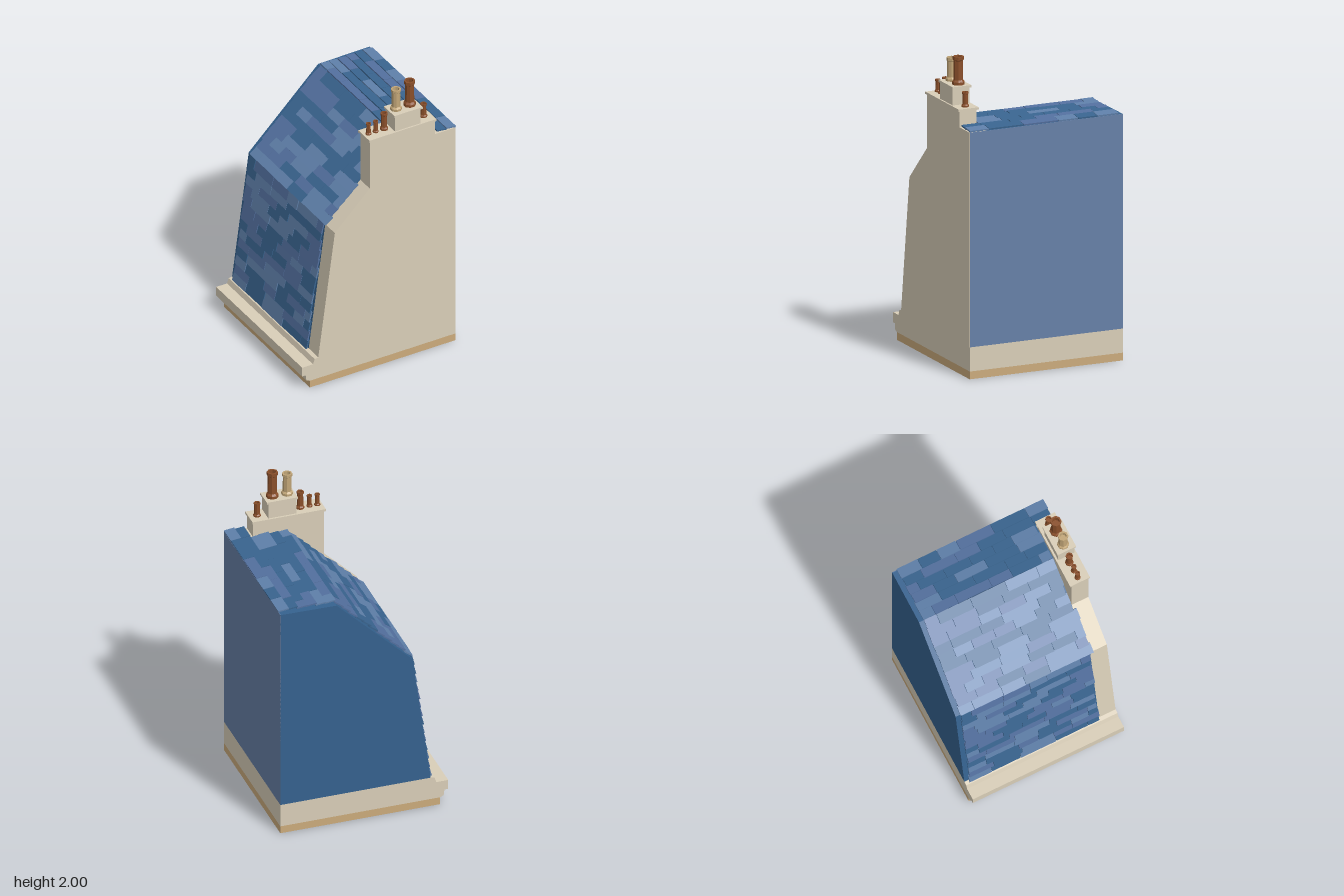
import * as THREE from 'three';

const mat = (color) => new THREE.MeshStandardMaterial({ color, flatShading: true });
const cream = mat(0xd9ceb8), tan = mat(0xcbab7c), brown = mat(0x8a4f2a), sand = mat(0xc2a678);
const roofBlue = mat(0x35628f), wallBlue = mat(0x6680a7);
const slateBlues = [mat(0x39648f), mat(0x53709f), mat(0x5f80aa)];

// Roof line from eaves to the right-hand wall
const EAVES = [-0.44, 0.2], BREAK = [-0.32, 1.09], TOP = [0.18, 1.58], EDGE = [0.55, 1.585];
const BACK = -0.532, FRONT = 0.522, SLAB = 0.405;

function seeded(seed) {
  return () => (seed = (seed * 16807) % 2147483647) / 2147483647;
}

function add(parent, name, geometry, material, x = 0, y = 0, z = 0) {
  const mesh = new THREE.Mesh(geometry, material);
  mesh.name = name;
  mesh.position.set(x, y, z);
  parent.add(mesh);
  return mesh;
}

// Box given by its two extreme corners
function block(parent, name, material, [x0, y0, z0], [x1, y1, z1]) {
  return add(parent, name, new THREE.BoxGeometry(x1 - x0, y1 - y0, z1 - z0), material,
    (x0 + x1) / 2, (y0 + y1) / 2, (z0 + z1) / 2);
}

// Outline in x and y, extruded from z0 to z1
function prism(parent, name, material, points, z0, z1) {
  const shape = new THREE.Shape(points.map(([x, y]) => new THREE.Vector2(x, y)));
  const geometry = new THREE.ExtrudeGeometry(shape, { depth: z1 - z0, bevelEnabled: false });
  return add(parent, name, geometry, material, 0, 0, z0);
}

// Hollow eight-sided pot with a flared foot and a rim
function chimneyPot(parent, x, y, radius, height, material) {
  const r = radius, h = height;
  const profile = [[1.2, 0], [1.2, 0.1 * h], [0.9, 0.17 * h], [0.86, 0.85 * h], [1.05, 0.88 * h],
    [1.05, h], [0.7, h], [0.7, 0.75 * h], [0, 0.75 * h]]
    .map(([k, py]) => new THREE.Vector2(k * r, py));
  add(parent, 'chimneyPot', new THREE.LatheGeometry(profile, 8, Math.PI / 8), material, x, y, 0.46);
}

// Overlapping courses of slates from a low to a high point of the roof line
function slates(parent, name, low, high, courses, rnd, frontEnd) {
  const group = new THREE.Group();
  group.name = name;
  parent.add(group);
  const dx = high[0] - low[0], dy = high[1] - low[1];
  const angle = Math.atan2(dy, dx), pitch = Math.hypot(dx, dy) / courses;
  const unit = new THREE.BoxGeometry(1, 1, 1);
  for (let i = 0; i < courses; i++) {
    const t = (i + 0.5) / courses;
    const x = low[0] + dx * t, y = low[1] + dy * t;
    const end = frontEnd(x);
    let z = -0.505 + 0.01 * rnd();
    let first = true;
    while (z < end - 0.01) {
      let length = (first ? 0.07 : 0.12) + 0.13 * rnd();
      if (end - z - length < 0.06) length = end - z + 0.015 * (rnd() - 0.5);
      const lift = 0.007 + 0.004 * rnd();
      const tone = slateBlues[Math.floor(rnd() * 3)];
      const slate = add(group, 'slate', unit, tone,
        x - Math.sin(angle) * lift, y + Math.cos(angle) * lift, z + length / 2);
      slate.scale.set(pitch * (1.08 + 0.1 * rnd()), 0.009, length - 0.003);
      slate.rotation.set(0, 0.02 * (rnd() - 0.5), angle - 0.12);
      z += length;
      first = false;
    }
  }
}

export function createModel() {
  const model = new THREE.Group();
  model.name = 'mansardHouseTop';

  // Base, cornice and walls
  block(model, 'plinth', tan, [-0.5, 0, BACK], [0.55, 0.05, FRONT]);
  prism(model, 'cornice', cream, [[-0.5, 0.05], [0.55, 0.05], [0.55, 0.205], [-0.44, 0.205],
    [-0.465, 0.2], [-0.477, 0.165], [-0.555, 0.165], [-0.555, 0.1], [-0.53, 0.1], [-0.525, 0.06]],
  BACK, FRONT);
  prism(model, 'roofBody', roofBlue, [[EAVES[0], 0.205], [0.548, 0.205], [0.548, EDGE[1]], TOP, BREAK],
    BACK, SLAB);
  block(model, 'sideWall', wallBlue, [0.546, 0.205, BACK], [0.55, 1.585, FRONT - 0.002]);

  // Front gable with its chimney stack
  prism(model, 'gableWall', cream, [EAVES, [0.549, 0.2], [0.549, 1.585], [0.4, 1.585], [0.4, 1.69],
    [-0.068, 1.69], [-0.068, 1.337], BREAK], SLAB, FRONT);
  block(model, 'stackCap', cream, [-0.075, 1.685, 0.392], [0.408, 1.7, 0.53]);
  block(model, 'upperStack', cream, [0.115, 1.7, 0.405], [0.3, 1.808, 0.52]);
  block(model, 'upperStackCap', cream, [0.107, 1.806, 0.397], [0.312, 1.82, 0.526]);

  // Pots: x, foot height, radius, height, material
  const pots = [
    [-0.041, 1.7, 0.016, 0.08, brown], [0.01, 1.7, 0.016, 0.08, brown], [0.071, 1.7, 0.022, 0.12, brown],
    [0.157, 1.82, 0.031, 0.15, sand], [0.255, 1.82, 0.033, 0.18, brown], [0.355, 1.7, 0.02, 0.095, brown],
  ];
  for (const pot of pots) chimneyPot(model, ...pot);

  // Slates on the steep, sloping and flat parts
  const rnd = seeded(4711);
  slates(model, 'steepSlates', EAVES, BREAK, 14, rnd, () => 0.4);
  slates(model, 'slopeSlates', BREAK, TOP, 11, rnd, (x) => (x < -0.1 ? 0.42 : 0.4));
  slates(model, 'topSlates', [TOP[0], 1.586], [EDGE[0] - 0.002, 1.588], 6, rnd, (x) => (x < 0.42 ? 0.4 : 0.525));

  return model;
}
